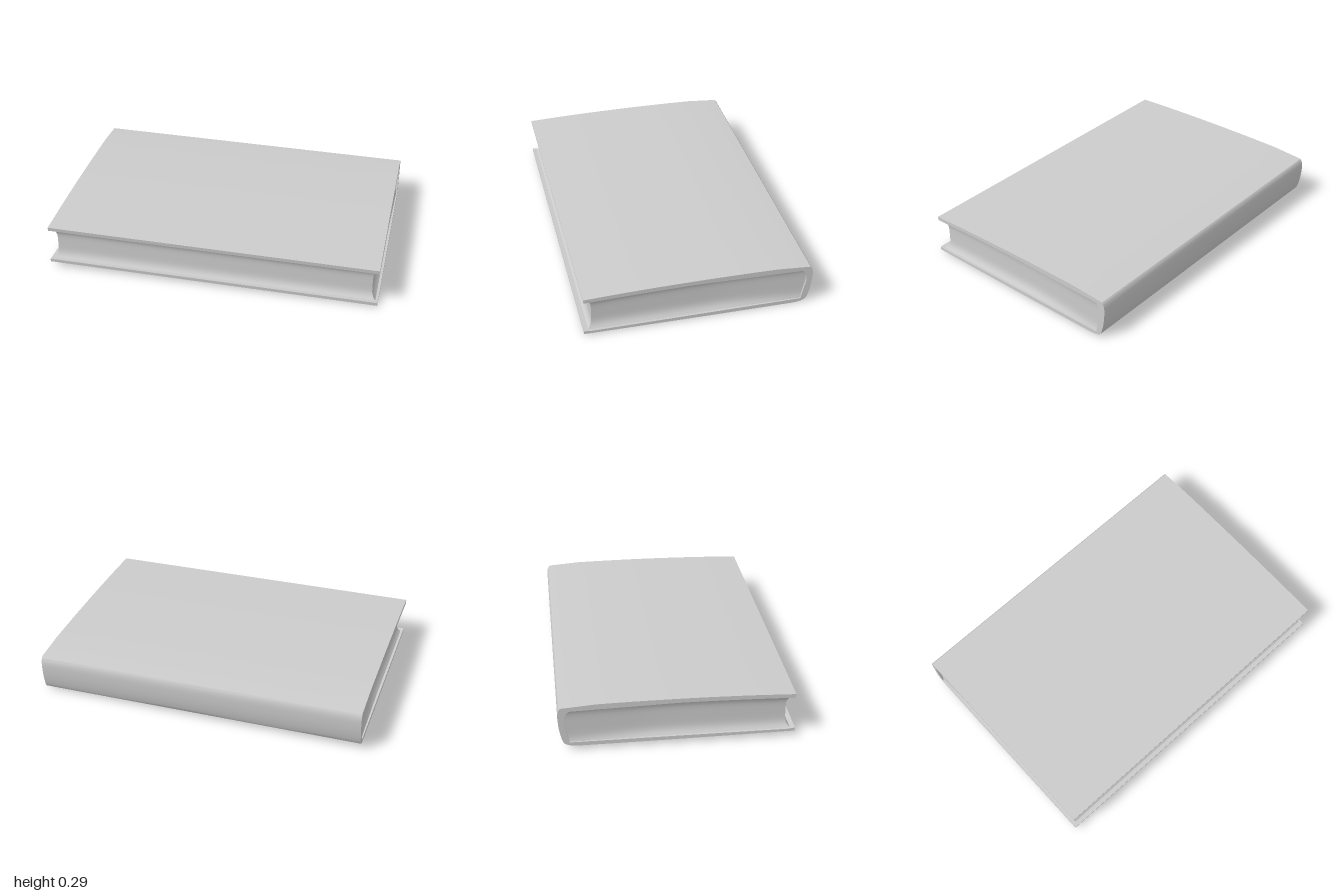
import * as THREE from 'three';
import { toCreasedNormals } from 'three/addons/utils/BufferGeometryUtils.js';

const TILT = 0.011; // the book lies slightly lower on its left

// Moves every vertex of a geometry by a rule
function deform(geometry, rule) {
  const pos = geometry.attributes.position;
  const v = new THREE.Vector3();
  for (let i = 0; i < pos.count; i++) {
    v.fromBufferAttribute(pos, i);
    rule(v);
    v.y -= TILT * v.x;
    pos.setXYZ(i, v.x, v.y, v.z);
  }
  return geometry;
}

// Wrap-around cover: C-shaped section, drawn with the spine towards +u (u = -z)
function coverGeometry() {
  const s = new THREE.Shape();
  s.moveTo(-0.67, 0.02);
  s.quadraticCurveTo(0, 0.012, 0.56, 0.011);
  s.quadraticCurveTo(0.635, 0.013, 0.645, 0.04);
  s.quadraticCurveTo(0.668, 0.10, 0.672, 0.19);
  s.quadraticCurveTo(0.674, 0.24, 0.655, 0.257);
  s.lineTo(0.46, 0.272);
  s.quadraticCurveTo(0, 0.282, -0.46, 0.269);
  s.lineTo(-0.668, 0.261);
  s.lineTo(-0.665, 0.238);
  s.quadraticCurveTo(-0.3, 0.25, 0.0, 0.25);
  s.lineTo(0.61, 0.235);
  s.quadraticCurveTo(0.65, 0.2, 0.63, 0.13);
  s.lineTo(0.61, 0.035);
  s.lineTo(-0.63, 0.035);
  s.lineTo(-0.672, 0.04);
  s.closePath();
  const g = new THREE.ExtrudeGeometry(s, { depth: 1.99, steps: 8, curveSegments: 8, bevelEnabled: false });
  g.translate(0, 0, -0.995).rotateY(Math.PI / 2);
  return toCreasedNormals(deform(g, () => {}), 0.6);
}

// Page block: edges hollow between the covers and flare out to meet them
function pagesGeometry() {
  const g = new THREE.BoxGeometry(2, 1, 2, 12, 12, 12);
  deform(g, (v) => {
    const flare = Math.pow(Math.abs(v.y) * 2, 5);
    const front = (v.z + 1) / 2;
    const inset = THREE.MathUtils.lerp(0.012, 0.037, Math.min(1, front * 2.5));
    v.x *= 0.993 - inset * (1 - flare * 0.85);
    v.z = THREE.MathUtils.lerp(-0.635, 0.62 + 0.035 * flare, front);
    const top = 0.256 - 0.04 * v.z * v.z;
    v.y = THREE.MathUtils.lerp(0.028, top, v.y + 0.5);
  });
  return toCreasedNormals(g, 0.8);
}

export function createModel() {
  const book = new THREE.Group();
  book.name = 'book';
  const material = new THREE.MeshStandardMaterial({ color: 0xcccccc });
  const parts = { cover: coverGeometry(), pages: pagesGeometry() };
  for (const [name, geometry] of Object.entries(parts)) {
    const mesh = new THREE.Mesh(geometry, material);
    mesh.name = name;
    book.add(mesh);
  }
  return book;
}
